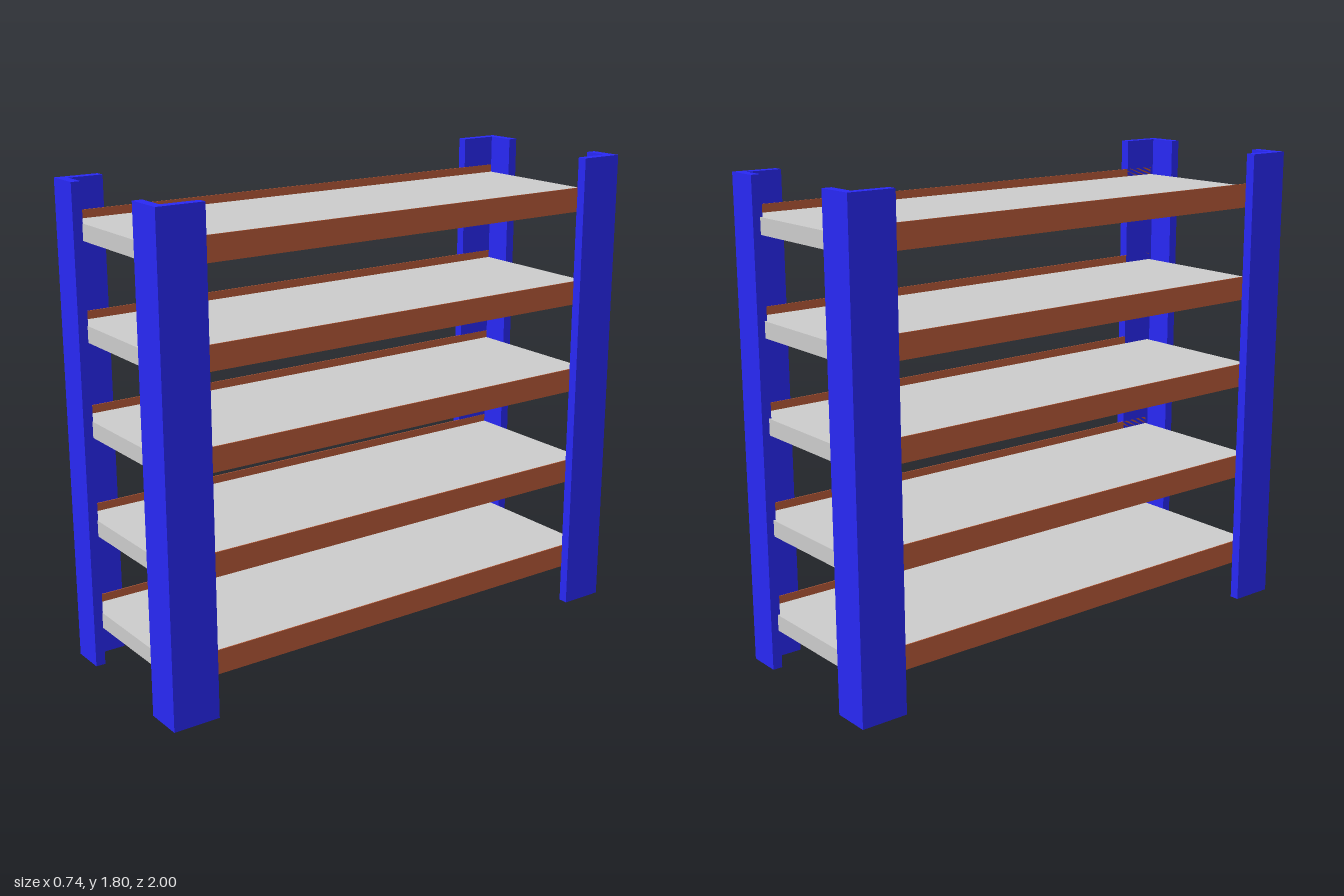
import * as THREE from 'three';

const material = (color) => new THREE.MeshStandardMaterial({ color });

export function createModel() {
  const rack = new THREE.Group();
  rack.name = 'shelvingRack';
  const blue = material(0x2828f4);
  const brown = material(0xb85a38);
  const grey = material(0xcccccc);

  // Box given by its minimum and maximum corners
  const addBox = (name, mat, [x0, y0, z0], [x1, y1, z1]) => {
    const mesh = new THREE.Mesh(new THREE.BoxGeometry(x1 - x0, y1 - y0, z1 - z0), mat);
    mesh.position.set((x0 + x1) / 2, (y0 + y1) / 2, (z0 + z1) / 2);
    mesh.name = name;
    rack.add(mesh);
  };

  // Angle-iron post: outer corner (x, z), end of its x flange and end of its z flange
  const height = 1.8;
  const thick = 0.037;
  const addPost = (name, x, z, xEnd, zEnd) => {
    const xi = x - Math.sign(x) * thick;
    const zi = z - Math.sign(z) * thick;
    // Shape y is -z once the extrusion is stood upright
    const points = [[x, z], [xEnd, z], [xEnd, zi], [xi, zi], [xi, zEnd], [x, zEnd]];
    const shape = new THREE.Shape(points.map(([px, pz]) => new THREE.Vector2(px, -pz)));
    const geometry = new THREE.ExtrudeGeometry(shape, { depth: height, bevelEnabled: false });
    geometry.rotateX(-Math.PI / 2);
    const mesh = new THREE.Mesh(geometry, blue);
    mesh.name = name;
    rack.add(mesh);
  };
  addPost('frontLeftPost', 0.363, 1, 0.215, 0.82);
  addPost('frontRightPost', -0.37, 0.987, -0.24, 0.82);
  addPost('backLeftPost', 0.366, -0.99, 0.238, -0.82);
  addPost('backRightPost', -0.366, -1, -0.22, -0.82);

  // Shelves, each with a thin beam along both long edges
  const back = -0.962, front = 0.952;
  [0.147, 0.51, 0.886, 1.235, 1.595].forEach((y, i) => {
    addBox(`shelf${i + 1}`, grey, [-0.328, y, back], [0.326, y + 0.061, front]);
    addBox(`rightBeam${i + 1}`, brown, [-0.332, y, back], [-0.328, y + 0.091, front]);
    addBox(`leftBeam${i + 1}`, brown, [0.326, y, back], [0.33, y + 0.091, front]);
  });

  return rack;
}
